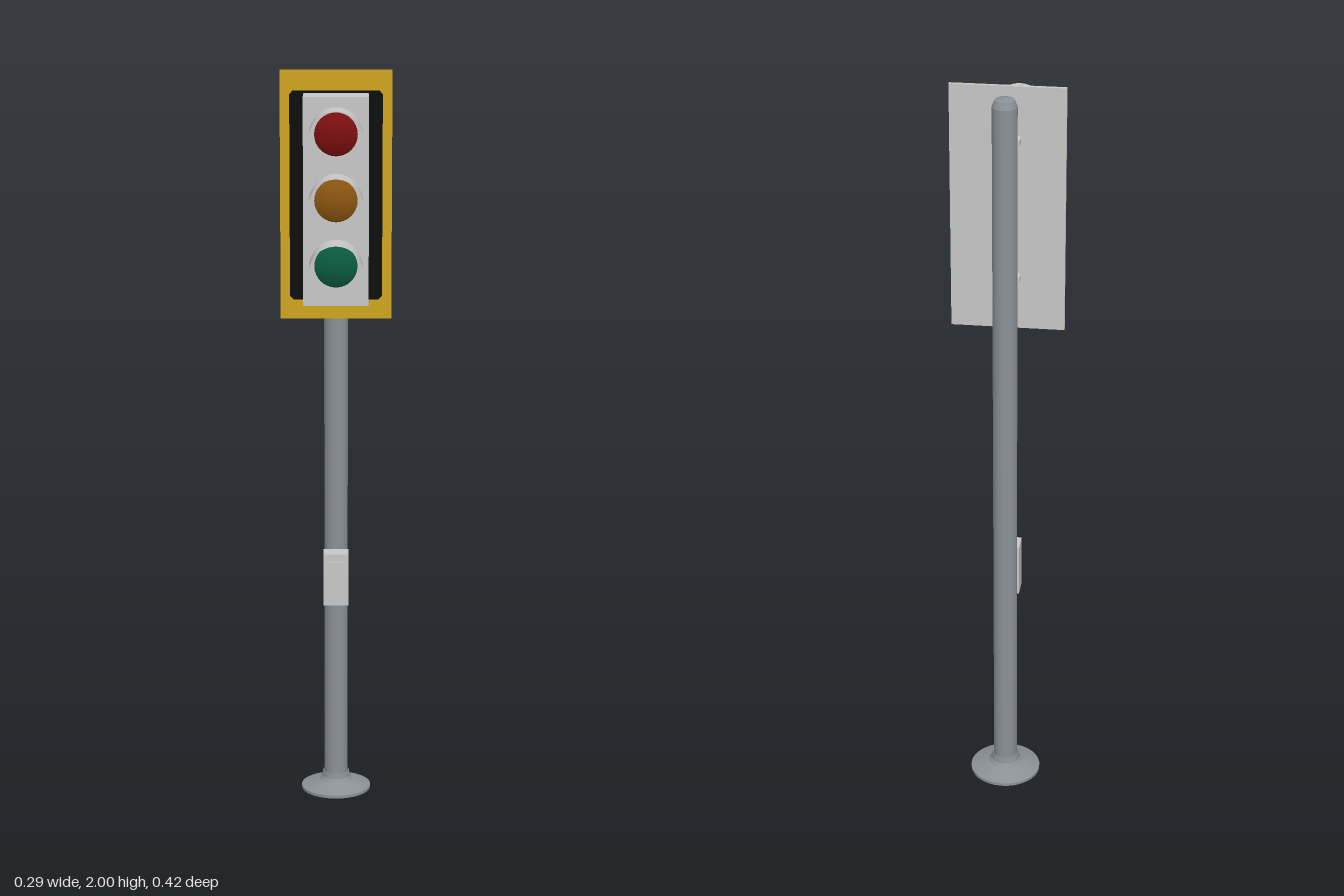
import * as THREE from 'three';

const mat = (name, color) => {
  const m = new THREE.MeshStandardMaterial({ color });
  m.name = name;
  return m;
};

export function createModel() {
  const steel = mat('pole steel', 0x8a9197);
  const grey = mat('housing grey', 0xc8c8c8);
  const visorGrey = mat('visor grey', 0xc8c8c8);
  visorGrey.side = THREE.DoubleSide;
  const yellow = mat('border yellow', 0xd0a51f);
  const black = mat('panel black', 0x0c0f0e);

  const group = new THREE.Group();
  const add = (name, geometry, material, x = 0, y = 0, z = 0) => {
    const mesh = new THREE.Mesh(geometry, material);
    mesh.name = name;
    mesh.position.set(x, y, z);
    group.add(mesh);
    return mesh;
  };
  // Box given by its limits on each axis
  const box = (name, material, x, y0, y1, z0, z1) =>
    add(name, new THREE.BoxGeometry(2 * x, y1 - y0, z1 - z0), material, 0, (y0 + y1) / 2, (z0 + z1) / 2);
  // Lathe with hard edges: one band per pair of profile points
  const lathe = (name, points, material, z) => {
    for (let i = 0; i + 1 < points.length; i++) {
      const pair = [points[i], points[i + 1]].map(([r, y]) => new THREE.Vector2(r, y));
      add(name, new THREE.LatheGeometry(pair, 32), material, 0, 0, z);
    }
  };

  // Pole with a rounded cap, and the flared base around it
  const poleZ = -0.113;
  lathe('pole', [[0, 0.02], [0.032, 0.02], [0.032, 1.968], [0.025, 1.986], [0, 1.992]], steel, poleZ);
  lathe('base', [[0.034, 0.05], [0.034, 0], [0.096, 0], [0.096, 0.008], [0.046, 0.026],
    [0.039, 0.035], [0.036, 0.05], [0.034, 0.05]], steel, poleZ);

  // Backboard: grey plate with a yellow face and a black panel behind the housing
  box('backboard', grey, 0.147, 1.345, 2, -0.055, -0.046);
  box('backboardFace', yellow, 0.147, 1.345, 2, -0.046, -0.045);
  const panel = new THREE.Shape();
  [[-0.122, 1.406], [-0.113, 1.397], [0.113, 1.397], [0.122, 1.406],
    [0.122, 1.937], [0.113, 1.947], [-0.113, 1.947], [-0.122, 1.937]]
    .forEach(([x, y], i) => (i ? panel.lineTo(x, y) : panel.moveTo(x, y)));
  add('blackPanel', new THREE.ShapeGeometry(panel), black, 0, 0, -0.044);

  // Signal housing
  box('housing', grey, 0.085, 1.4, 1.94, -0.042, 0.082);
  box('housingMount', grey, 0.064, 1.42, 1.92, -0.046, -0.04);

  // Lamps: shallow domed lens under a half-tube visor
  const lensRadius = 0.056, bulge = 0.016;
  const sphere = (lensRadius ** 2 + bulge ** 2) / (2 * bulge);
  const lamps = [['red', 0x7c0f10, 1.845], ['amber', 0x8c5611, 1.675], ['green', 0x0b5c40, 1.505]];
  for (const [name, color, y] of lamps) {
    const dome = new THREE.SphereGeometry(sphere, 32, 6, 0, Math.PI * 2, 0, Math.asin(lensRadius / sphere));
    dome.rotateX(Math.PI / 2);
    add(name + 'Lens', dome, mat('lens ' + name, color), 0, y, 0.083 + bulge - sphere);

    const gap = 0.14;
    const visor = new THREE.CylinderGeometry(0.069, 0.069, 0.127, 20, 1, true, Math.PI / 2 + gap, Math.PI - 2 * gap);
    visor.rotateX(Math.PI / 2);
    add(name + 'Visor', visor, visorGrey, 0, y, 0.1455);
  }

  // Two clamps holding the board to the pole
  for (const y of [1.861, 1.49]) {
    const clamp = new THREE.CylinderGeometry(1, 1, 0.03, 8, 1, false, Math.PI / 8).toNonIndexed();
    clamp.rotateX(Math.PI / 2);
    clamp.scale(0.036, 0.019, 1);
    clamp.computeVertexNormals();
    add('clamp', clamp, grey, 0, y, -0.068);
  }

  // Crossing button box
  box('buttonBox', grey, 0.034, 0.555, 0.7, -0.082, -0.026);
  box('button', grey, 0.019, 0.64, 0.677, -0.027, -0.02);

  return group;
}
